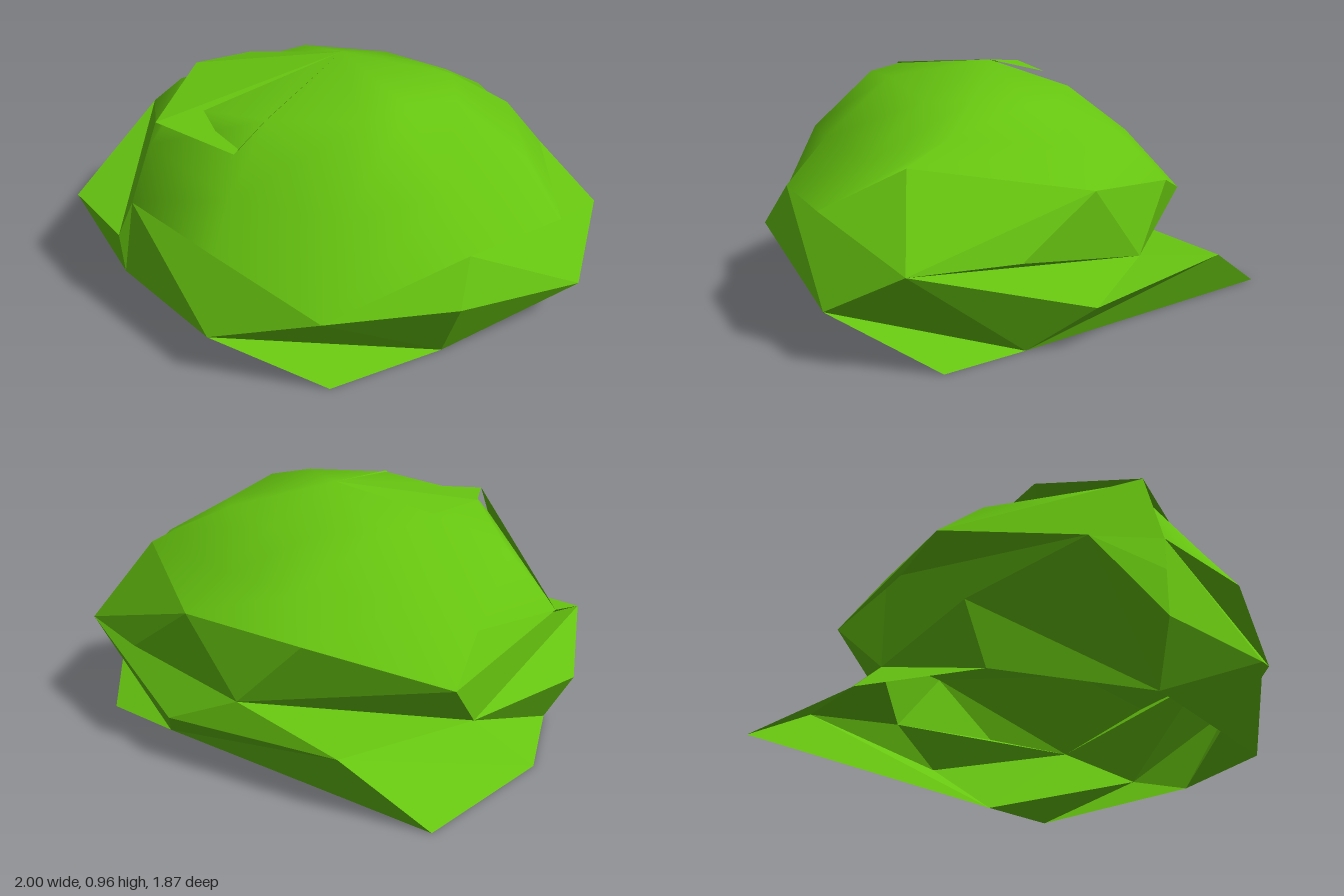
import * as THREE from 'three';

export function createModel() {
  const group = new THREE.Group();
  group.name = 'leafyHead';
  const leafGreen = new THREE.MeshStandardMaterial({ color: 0x66c410, side: THREE.DoubleSide });
  leafGreen.name = 'leafGreen';

  const addMesh = (name, pos, index) => {
    const geo = new THREE.BufferGeometry();
    geo.setAttribute('position', new THREE.Float32BufferAttribute(pos, 3));
    if (index) geo.setIndex(index);
    geo.computeVertexNormals();
    const mesh = new THREE.Mesh(geo, leafGreen);
    mesh.name = name;
    group.add(mesh);
  };

  // A folded leaf: a fan of facets from its first corner, counter-clockwise from outside
  const leaf = (name, pts) => {
    const pos = [];
    for (let i = 1; i < pts.length - 1; i++) pos.push(...pts[0], ...pts[i], ...pts[i + 1]);
    addMesh(name, pos);
  };

  // A smooth closed dome lofted through rings, ending in an apex
  const dome = (name, rings, apex) => {
    const n = rings[0].length, idx = [];
    rings.forEach((ring, r) => {
      for (let j = 0; j < n; j++) {
        const a = r * n + j, b = r * n + (j + 1) % n;
        if (r < rings.length - 1) idx.push(a, b, b + n, a, b + n, a + n);
        else idx.push(a, b, rings.length * n);
      }
    });
    addMesh(name, [...rings.flat(2), ...apex], idx);
  };

  // Corners shared by neighbouring leaves
  const frontLow = [-0.24, 0.2, 0.93], frontTip = [0.2, 0.37, 0.93], frontLeft = [0.64, 0.37, 0.71];
  const leftFold = [0.64, 0.53, 0.6], leftRim = [0.91, 0.53, 0.28], leftTip = [1, 0.37, -0.12];
  const leftLow = [1, 0.2, 0.21], leftCrest = [0.77, 0.68, 0], leftBack = [0.7, 0.37, -0.41];
  const backCorner = [0.42, 0.58, -0.57], backRim = [-0.05, 0.53, -0.69], backTip = [-0.59, 0.37, -0.59];
  const backLow = [-0.22, 0.2, -0.87], backFold = [0.49, 0.17, -0.61], backMid = [0.2, 0.29, -0.67];
  const rightRim = [-0.91, 0.53, -0.08], rightTip = [-1, 0.37, 0.47], rightLow = [-1, 0.2, 0.06];
  const rightFold = [-0.64, 0.53, -0.38], rightTuck = [-0.64, 0.17, -0.38];
  const cornerLow = [-0.7, 0.2, 0.67], cornerMid = [-0.71, 0.37, 0.67], cornerRim = [-0.64, 0.53, 0.66];
  const frontRim = [-0.22, 0.53, 0.87], flapTip = [-0.55, 0.85, 0.58], apex = [-0.01, 0.965, 0.05];
  // Feet on the ground
  const frontFoot = [0.2, 0, 0.85], frontTuck = [0.54, 0, 0.52], leftFoot = [0.89, 0, -0.2];
  const leftTuck = [0.58, 0, -0.37], spike = [-0.56, 0, -0.94], backFoot = [-0.87, 0, -0.37];
  const rightFoot = [-0.89, 0, 0.1], cornerTuck = [-0.55, 0, 0.6];

  // Rounded head
  dome('head', [
    [frontRim, frontTip, leftFold, leftRim, leftCrest, backCorner, backRim, backTip, rightRim, cornerRim],
    [[-0.2, 0.69, 0.75], [0.23, 0.68, 0.74], [0.52, 0.7, 0.5], [0.75, 0.69, 0.16], [0.62, 0.77, -0.1],
      [0.3, 0.7, -0.43], [0, 0.68, -0.55], [-0.42, 0.64, -0.4], [-0.72, 0.72, 0.02], [-0.58, 0.75, 0.58]],
    [[-0.13, 0.91, 0.54], [0.2, 0.92, 0.48], [0.33, 0.925, 0.32], [0.46, 0.86, 0.1], [0.4, 0.87, -0.08],
      [0.2, 0.83, -0.22], [0, 0.82, -0.25], [-0.25, 0.84, -0.2], [-0.48, 0.84, 0.06], [-0.53, 0.85, 0.45]],
  ], apex);

  // Curled flap near the top
  leaf('topFlap', [apex, [-0.42, 0.87, -0.02], [-0.57, 0.89, 0.17], flapTip, [-0.22, 0.81, 0.64], [-0.13, 0.915, 0.545]]);

  // Front leaves
  leaf('frontLeaf', [cornerRim, cornerMid, cornerLow, frontLow, frontTip]);
  leaf('frontCornerLeaf', [cornerMid, rightTip, cornerLow]);
  leaf('frontShelf', [cornerRim, frontTip, frontRim]);
  leaf('frontPleat', [frontTip, frontLeft, leftFold]);
  leaf('frontUnderLeaf', [frontTuck, leftFoot, leftLow, frontLeft, frontTip, frontLow]);
  leaf('frontFootLeaf', [frontLow, frontFoot, frontTuck]);

  // Leaves on the +x side
  leaf('leftLeaf', [leftFold, frontLeft, leftLow, leftTip]);
  leaf('leftShelf', [leftFold, leftTip, leftRim]);
  leaf('leftSideLeaf', [leftTip, leftBack, backCorner, leftCrest, leftRim]);
  leaf('leftFootLeaf', [leftLow, leftFoot, leftTuck]);

  // Leaves at the back
  leaf('backUnderLeaf', [leftTuck, spike, backLow, backFold, leftTip, leftLow]);
  leaf('backTopLeaf', [backMid, leftBack, leftTip, backFold, backLow, rightTuck]);
  leaf('backInnerLeaf', [backMid, rightTuck, backTip, backRim, backCorner, leftBack]);
  leaf('backFootLeaf', [backLow, spike, backFoot, rightTuck]);

  // Leaves on the -x side
  leaf('rightLeaf', [rightTip, rightRim, rightFold, rightTuck, rightLow]);
  leaf('rightShelf', [rightFold, backTip, rightTuck]);
  leaf('rightInnerFold', [rightRim, backTip, rightFold]);
  leaf('rightFootLeaf', [rightTuck, backFoot, rightFoot, rightLow]);
  leaf('rightCornerLeaf', [rightRim, rightTip, cornerMid]);
  leaf('rightUpperLeaf', [rightRim, cornerMid, cornerRim, flapTip]);
  leaf('rightUnderLeaf', [cornerTuck, frontFoot, frontLow, cornerLow, rightTip, rightLow, rightFoot]);

  return group;
}
